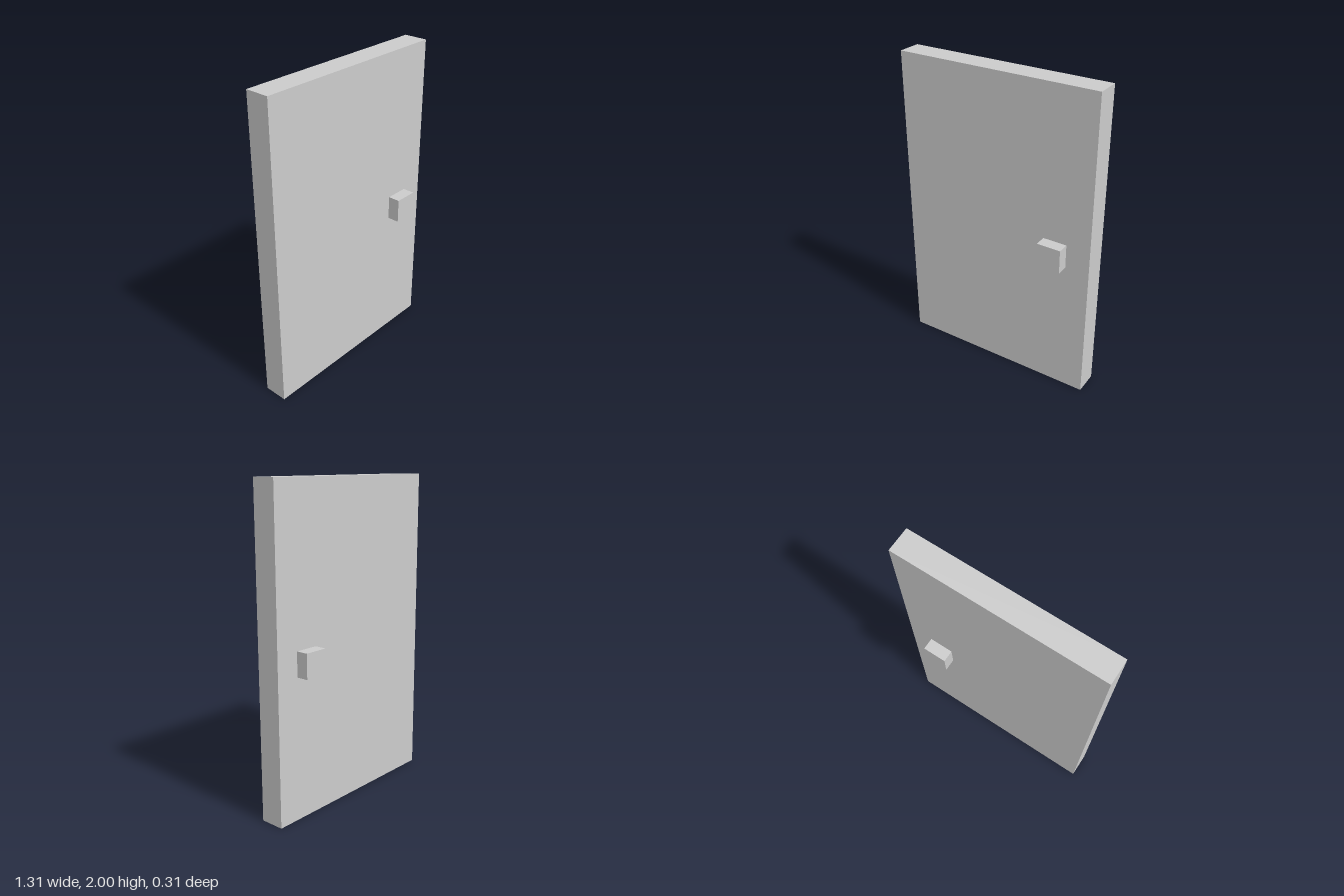
import * as THREE from 'three';

const U = 1 / 13; // the door is 26 units tall

export function createModel() {
  const model = new THREE.Group();
  model.name = 'door';
  const material = new THREE.MeshStandardMaterial({ color: 0xcccccc, flatShading: true });

  function box(name, [w, h, d], [x, y, z]) {
    const mesh = new THREE.Mesh(new THREE.BoxGeometry(w * U, h * U, d * U), material);
    mesh.name = name;
    mesh.position.set(x * U, y * U, z * U);
    model.add(mesh);
  }

  // Door slab
  box('doorPanel', [17, 26, 2], [0, 13, 0]);

  // Square knob on each face
  for (const side of [1, -1]) {
    box(side > 0 ? 'frontKnob' : 'backKnob', [2, 2, 1], [5.5, 12.5, side * 1.5]);
  }

  return model;
}
